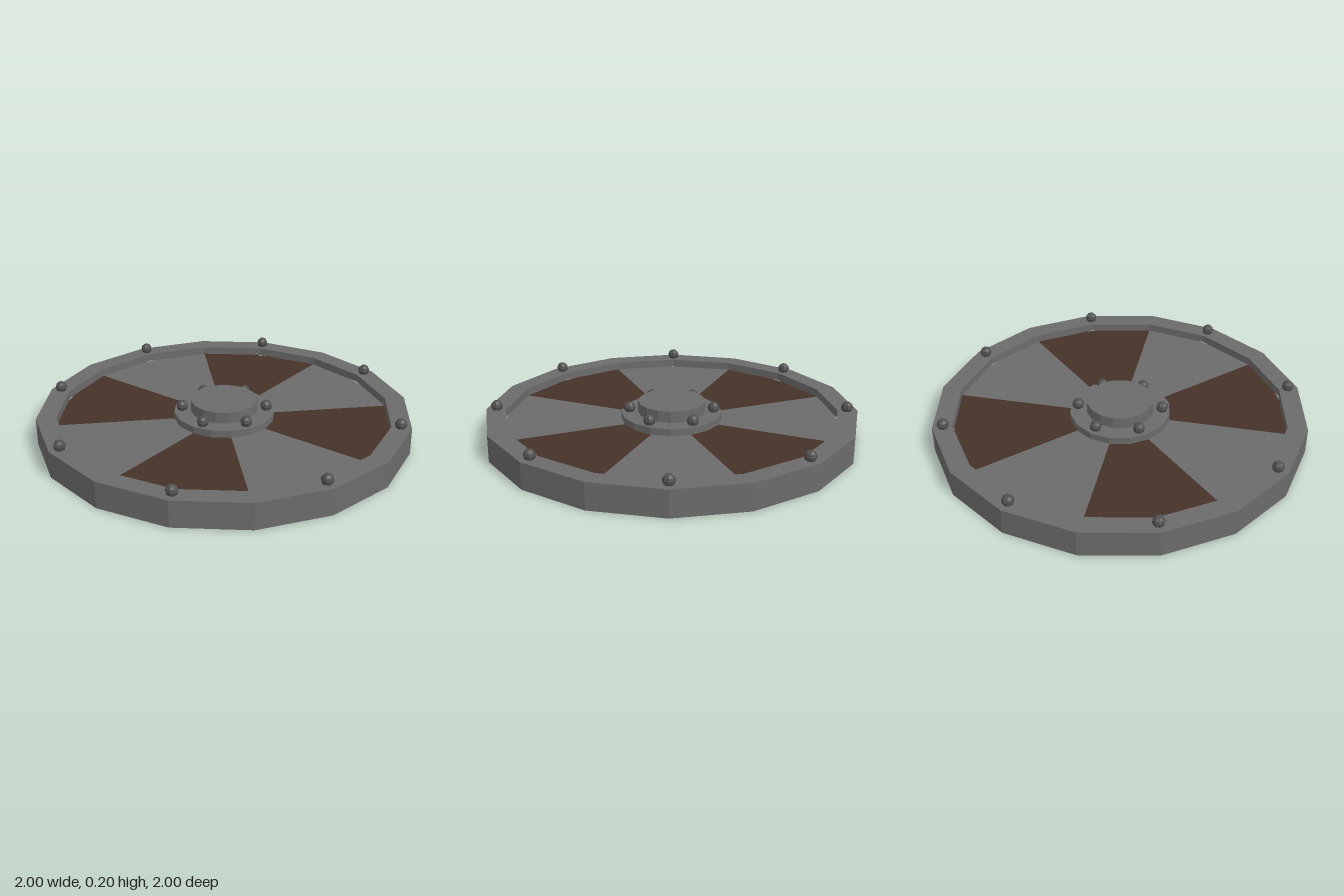
import * as THREE from 'three';

const SIDES = 16;
const FLOOR = 0.1;

const flat = (color) => new THREE.MeshStandardMaterial({ color, flatShading: true });

function add(parent, name, geometry, material) {
  const mesh = new THREE.Mesh(geometry, material);
  mesh.name = name;
  parent.add(mesh);
  return mesh;
}

export function createModel() {
  const group = new THREE.Group();
  group.name = 'roundShield';
  const steel = flat(0x6b6b6b);
  const wood = flat(0x463228);
  const iron = flat(0x505050);

  // Base disc with a raised rim around a shallow recess
  const profile = [[0, 0], [1, 0], [1, 0.143], [0.894, 0.143], [0.894, FLOOR]]
    .map(([r, y]) => new THREE.Vector2(r, y));
  add(group, 'rim', new THREE.LatheGeometry(profile, SIDES), steel);

  // Recessed face: alternating steel arms and wooden panels
  for (let i = 0; i < 8; i++) {
    const start = -Math.PI / 8 + i * Math.PI / 4;
    const sector = new THREE.RingGeometry(0.2, 0.894, 2, 1, start, Math.PI / 4);
    sector.rotateX(-Math.PI / 2).translate(0, FLOOR, 0);
    add(group, i % 2 ? 'woodPanel' : 'steelArm', sector, i % 2 ? wood : steel);
  }

  // Central flange and boss
  const disc = (name, radius, bottom, top) => add(group, name,
    new THREE.CylinderGeometry(radius, radius, top - bottom, SIDES)
      .translate(0, (top + bottom) / 2, 0), steel);
  disc('flange', 0.27, FLOOR - 0.02, 0.138);
  disc('boss', 0.18, 0.12, 0.2);

  // Rings of round rivets
  const rivet = new THREE.SphereGeometry(0.032, 8, 6);
  function rivetRing(name, count, radius, y) {
    for (let i = 0; i < count; i++) {
      const a = i * 2 * Math.PI / count;
      add(group, name, rivet, iron).position.set(radius * Math.sin(a), y, radius * Math.cos(a));
    }
  }
  rivetRing('rimRivet', 8, 0.942, 0.163);
  rivetRing('flangeRivet', 6, 0.226, 0.158);

  return group;
}
